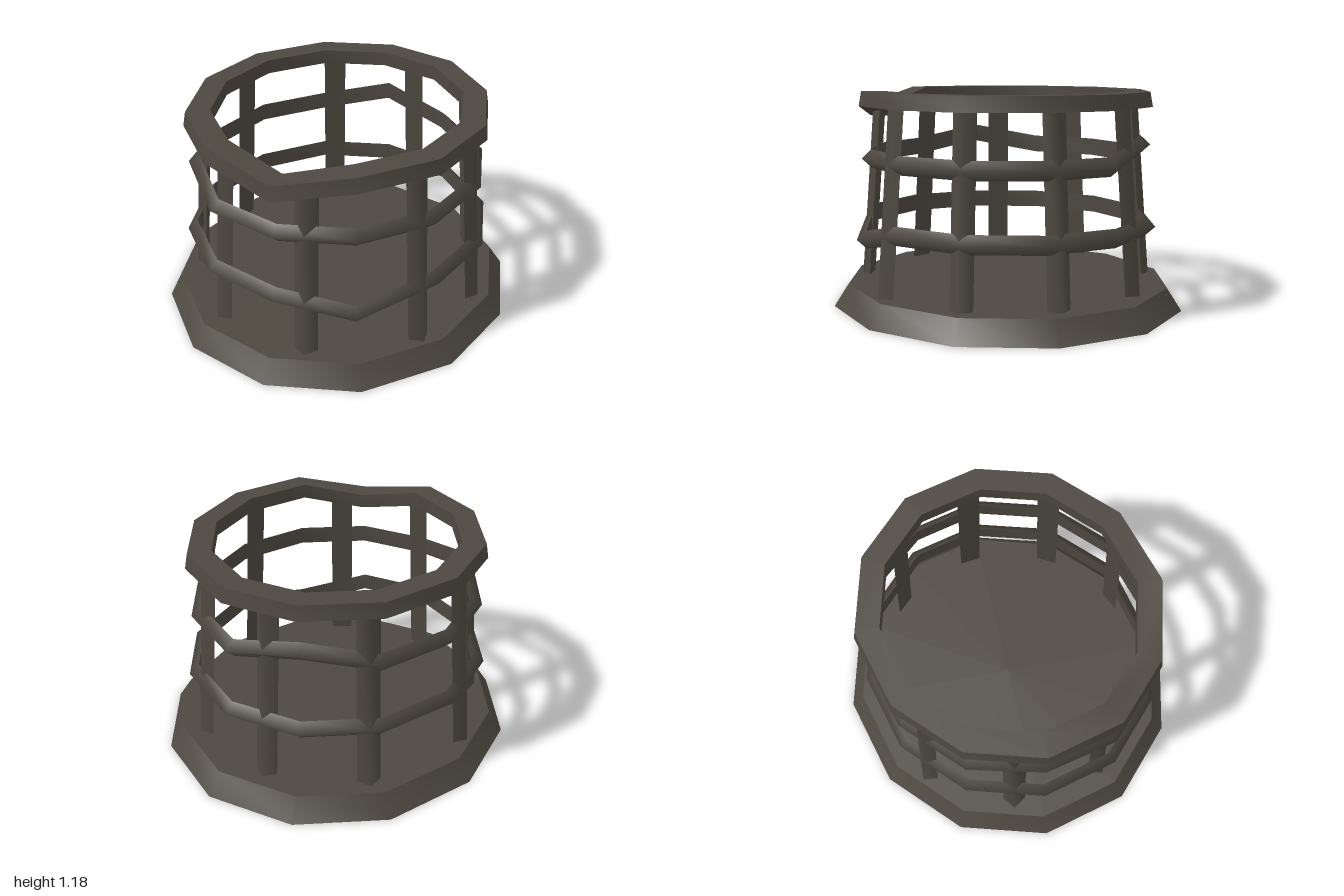
import * as THREE from 'three';
import { toCreasedNormals } from 'three/addons/utils/BufferGeometryUtils.js';

// Half of the slightly uneven twelve-sided outline (x, z); the rest is its point mirror
const half = [[-0.025, -0.995], [0.46, -0.9], [0.825, -0.555], [0.97, -0.07], [0.855, 0.435], [0.505, 0.83]];
const outline = [...half, ...half.map(([x, z]) => [-x, -z])];

// Surface through a closed loop of cross-sections, each a list of [x, y, z]
function loft(rows, closedSection, crease) {
  const n = rows.length, m = rows[0].length, index = [];
  for (let i = 0; i < n; i++) {
    for (let j = 0; j < (closedSection ? m : m - 1); j++) {
      const k = (i + 1) % n, l = (j + 1) % m;
      const a = i * m + j, b = k * m + j, c = k * m + l, d = i * m + l;
      index.push(a, d, c, a, c, b);
    }
  }
  const geo = new THREE.BufferGeometry();
  geo.setAttribute('position', new THREE.Float32BufferAttribute(rows.flat(2), 3));
  geo.setIndex(index);
  return toCreasedNormals(geo, crease);
}

// Sweep a profile of [scale, y] round the outline; bends shift single corners up or down
function hoop(profile, { bends = {}, shift = 0, closed = true, crease = 0.7 } = {}) {
  const rows = outline.map(([x, z], i) =>
    profile.map(([s, y]) => [x * s, y + (bends[i] || 0), z * s + shift]));
  return loft(rows, closed, crease);
}

export function createModel() {
  const model = new THREE.Group();
  const iron = new THREE.MeshStandardMaterial({ color: 0x4d4840, side: THREE.DoubleSide });
  iron.name = 'dark iron';
  const add = (name, geo) => {
    const mesh = new THREE.Mesh(geo, iron);
    mesh.name = name;
    model.add(mesh);
  };

  // Flared skirt, open below, and the floor on top of it
  add('skirt', hoop([[1, 0], [0.92, 0.12]], { closed: false }));
  add('floor', hoop([[0.92, 0.12], [0, 0.12]], { closed: false }));

  // Top rim with one dented corner at the front
  add('topRim', hoop([[0.83, 1.1], [0.815, 1.18], [0.685, 1.18], [0.685, 1.1]],
    { bends: { 6: -0.075 }, shift: 0.01 }));

  // Ridged rails, bent at a few corners
  const rail = (s, y) => [[s - 0.055, y - 0.05], [s, y], [s - 0.055, y + 0.05]];
  add('lowerRail', hoop(rail(0.858, 0.455), { bends: { 5: -0.09 }, shift: 0.01, crease: 1.75 }));
  add('upperRail', hoop(rail(0.82, 0.815), { bends: { 0: 0.085, 8: 0.07 }, shift: 0.01, crease: 1.75 }));

  // Nine leaning posts with the ridge outwards, at angles from the back towards +x
  [13.4, 51, 87, 123, 168, 208, 247, 286, 333].forEach((deg) => {
    const a = THREE.MathUtils.degToRad(deg), sin = Math.sin(a), cos = Math.cos(a);
    const corner = (inset, side) => [[0.838, 0.108], [0.755, 1.12]].map(([r, y]) =>
      [sin * (r - inset) + cos * side, y, -cos * (r - inset) + sin * side + 0.005]);
    add('post', loft([corner(0.055, -0.062), corner(0, 0), corner(0.055, 0.062)], false, 1.75));
  });
  return model;
}
